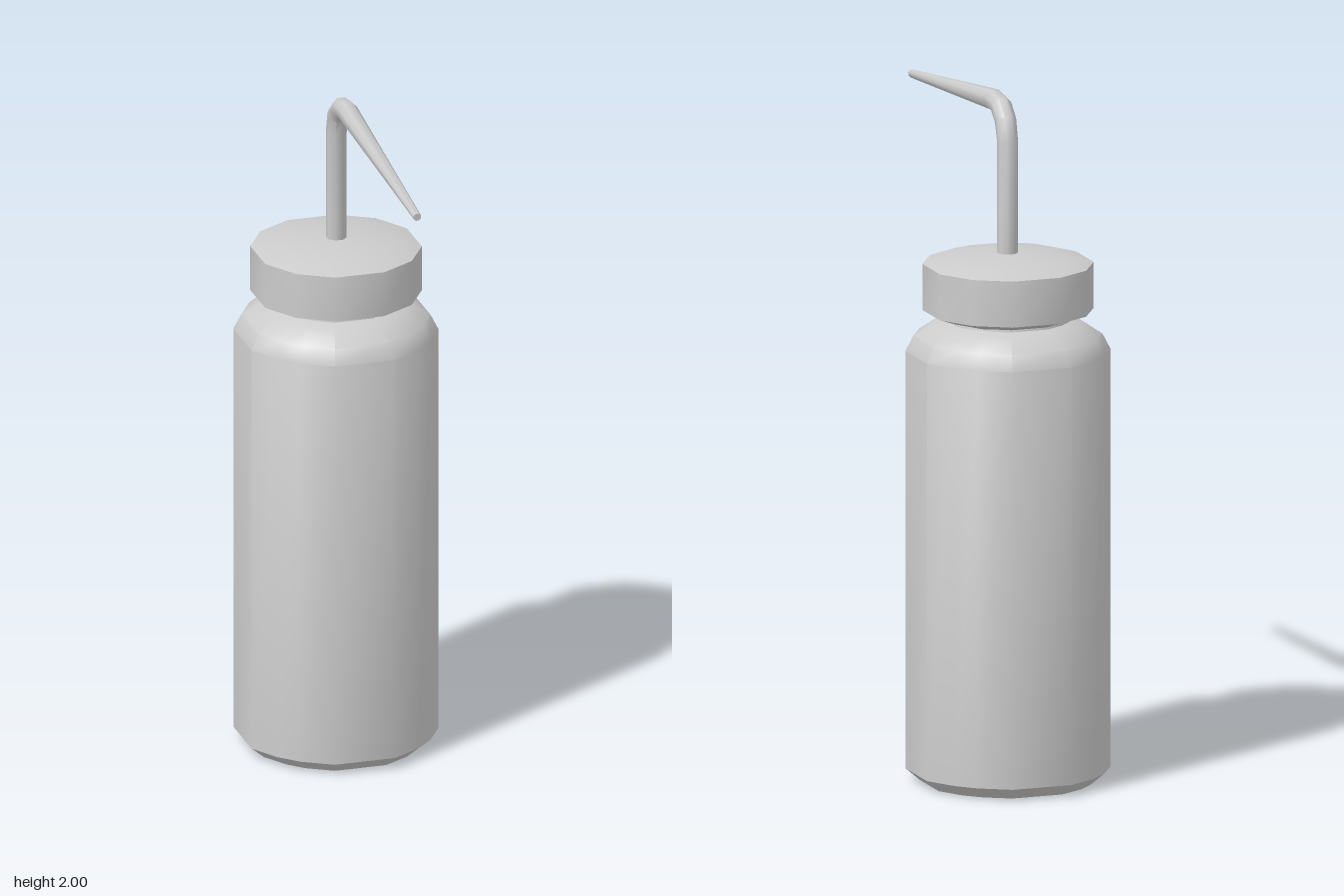
import * as THREE from 'three';
import { toCreasedNormals } from 'three/addons/utils/BufferGeometryUtils.js';

const AXIS_Z = -0.256;
const material = new THREE.MeshStandardMaterial({ color: 0xcccccc });

// Skin a stack of equal-length rings, closing both ends with a fan
function loft(rings, crease) {
  const n = rings[0].length;
  const points = rings.flat();
  const index = [];
  for (let i = 0; i < rings.length - 1; i++) {
    for (let j = 0; j < n; j++) {
      const k = (j + 1) % n;
      const a = i * n + j, b = i * n + k, c = a + n, d = b + n;
      index.push(a, b, d, a, d, c);
    }
  }
  const centre = ring => ring.reduce((s, p) => s.add(p), new THREE.Vector3()).divideScalar(n);
  const first = points.length, last = first + 1, top = (rings.length - 1) * n;
  points.push(centre(rings[0]), centre(rings[rings.length - 1]));
  for (let j = 0; j < n; j++) {
    const k = (j + 1) % n;
    index.push(first, k, j, last, top + j, top + k);
  }
  const geometry = new THREE.BufferGeometry().setFromPoints(points);
  geometry.setIndex(index);
  return toCreasedNormals(geometry.toNonIndexed(), crease);
}

// Turned shape with four-fold symmetry; corners are [angle in degrees, radius factor]
function turned(profile, corners) {
  const rings = profile.map(([r, y]) => {
    const ring = [];
    for (let q = 0; q < 4; q++) {
      for (const [deg, f] of corners) {
        const a = THREE.MathUtils.degToRad(deg + q * 90);
        ring.push(new THREE.Vector3(Math.sin(a) * r * f, y, Math.cos(a) * r * f));
      }
    }
    return ring;
  });
  return loft(rings, 0.6);
}

// Tapered octagonal tube through [y, z, radius] stations
function spout(stations) {
  const X = new THREE.Vector3(1, 0, 0);
  const pts = stations.map(([y, z]) => new THREE.Vector3(0, y, z));
  const rings = pts.map((p, i) => {
    const back = i > 0 ? p.clone().sub(pts[i - 1]).normalize() : new THREE.Vector3();
    const ahead = i < pts.length - 1 ? pts[i + 1].clone().sub(p).normalize() : new THREE.Vector3();
    const normal = X.clone().cross(back.add(ahead).normalize());
    return Array.from({ length: 8 }, (_, j) => {
      const a = (j + 0.5) * Math.PI / 4, r = stations[i][2];
      return p.clone().addScaledVector(X, Math.sin(a) * r).addScaledVector(normal, Math.cos(a) * r);
    });
  });
  return loft(rings, 0.85);
}

export function createModel() {
  const group = new THREE.Group();
  group.name = 'washBottle';
  const add = (name, geometry, z = 0) => {
    const mesh = new THREE.Mesh(geometry, material);
    mesh.name = name;
    mesh.position.z = z;
    group.add(mesh);
  };

  // Bottle with bevelled foot, rounded shoulder and short neck
  add('bottle', turned(
    [[0.24, 0], [0.28, 0.035], [0.28, 1.26], [0.258, 1.305], [0.205, 1.342], [0.175, 1.352], [0.165, 1.4]],
    [[17.8, 1.05], [37.7, 1.03], [52.3, 1.03], [72.2, 1.05]]), AXIS_Z);

  // Screw cap with a shallow domed top
  add('cap', turned(
    [[0.17, 1.357], [0.234, 1.38], [0.234, 1.515], [0.17, 1.535], [0.06, 1.545]],
    [[17.3, 1.05], [45, 1.05], [72.7, 1.05]]), AXIS_Z);

  // Bent spout tapering to the tip
  add('spout', spout([
    [1.5, -0.253, 0.03], [1.87, -0.253, 0.03], [1.929, -0.236, 0.031],
    [1.963, -0.199, 0.031], [1.971, -0.145, 0.031], [1.903, 0.536, 0.012],
  ]));
  return group;
}
